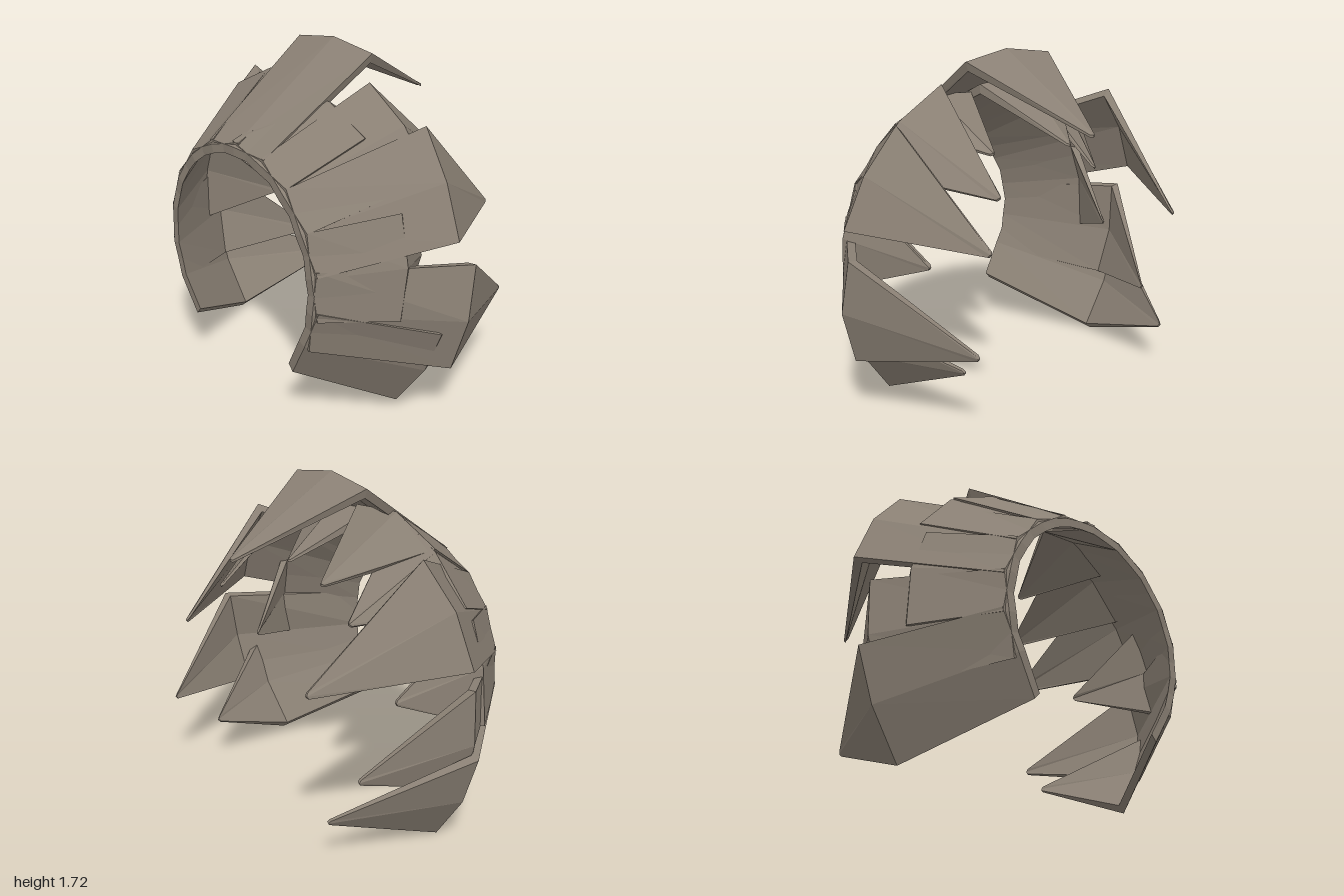
import * as THREE from 'three';

const CENTRE_Y = 0.7; // axis of the collar

// Each plate: three rim points, clockwise seen from the front, then its spike tip
const PLATES = {
  crownPlate: [[-0.28, 1.68, -0.01], [0, 1.72, 0], [0.27, 1.68, -0.01], [0, 1.38, -0.61]],
  rightInnerTopPlate: [[-0.55, 1.41, 0.19], [-0.28, 1.54, 0.18], [0.02, 1.52, 0.18], [-0.22, 1.24, -0.24]],
  rightInnerUpperPlate: [[-0.76, 1.17, 0.2], [-0.56, 1.4, 0.18], [-0.3, 1.53, 0.18], [-0.42, 1.09, -0.23]],
  rightUpperPlate: [[-1, 0.97, 0.02], [-0.89, 1.23, 0], [-0.71, 1.44, -0.04], [-0.6, 0.89, -0.62]],
  rightInnerSidePlate: [[-0.86, 0.58, 0.26], [-0.84, 0.88, 0.25], [-0.76, 1.1, 0.25], [-0.63, 0.72, -0.11]],
  rightSidePlate: [[-0.88, 0.3, 0.12], [-0.95, 0.56, 0.1], [-0.95, 0.84, 0.09], [-0.67, 0.4, -0.37]],
  rightLowerPlate: [[-0.74, 0.0, 0.08], [-0.9, 0.24, 0.09], [-0.99, 0.5, 0.09], [-0.64, 0.23, -0.53]],
  leftInnerTopPlate: [[0.02, 1.47, 0.25], [0.26, 1.49, 0.25], [0.51, 1.37, 0.25], [0.2, 1.24, -0.13]],
  leftInnerUpperPlate: [[0.35, 1.57, 0.08], [0.6, 1.42, 0.09], [0.78, 1.21, 0.1], [0.41, 1.11, -0.41]],
  leftUpperPlate: [[0.67, 1.42, 0.02], [0.84, 1.2, 0.05], [0.95, 0.95, 0.07], [0.57, 0.9, -0.53]],
  leftInnerSidePlate: [[0.76, 1.08, 0.25], [0.83, 0.84, 0.27], [0.82, 0.58, 0.3], [0.57, 0.72, -0.08]],
  leftSidePlate: [[0.985, 0.83, -0.01], [1, 0.56, 0.04], [0.92, 0.29, 0.06], [0.67, 0.43, -0.56]],
  leftLowerPlate: [[0.93, 0.5, 0.14], [0.83, 0.27, 0.14], [0.66, 0.04, 0.16], [0.58, 0.26, -0.35]],
};

// Point on the collar at a clockwise angle from the top
const polar = (angle, radius, z) =>
  [Math.sin(angle) * radius, CENTRE_Y + Math.cos(angle) * radius, z];

// Close three outer points into a six-point section by adding an inner skin
function section(outer, thickness) {
  const inner = outer.map(([x, y, z]) => {
    const k = 1 - thickness / Math.hypot(x, y - CENTRE_Y);
    return [x * k, CENTRE_Y + (y - CENTRE_Y) * k, z];
  });
  return [...outer, ...inner.reverse()];
}

// Folded plate: front ring edge, flared rim, then a spike bending back inward
function plateGeometry([a, ridge, b, tip]) {
  const angle = Math.atan2(ridge[0], ridge[1] - CENTRE_Y);
  const spread = 0.36;
  const front = [
    polar(angle - spread, 0.605, 0.605),
    polar(angle, 0.58, 0.62),
    polar(angle + spread, 0.605, 0.605),
  ];
  const tx = Math.cos(angle) * 0.015, ty = -Math.sin(angle) * 0.015;
  const point = [
    [tip[0] - tx, tip[1] - ty, tip[2] + 0.01],
    tip,
    [tip[0] + tx, tip[1] + ty, tip[2] + 0.01],
  ];
  const rings = [section(front, 0.045), section([a, ridge, b], 0.05), section(point, 0.012)];
  const positions = [];
  const quad = (p, q, r, s) => positions.push(...p, ...q, ...r, ...p, ...r, ...s);
  for (let i = 0; i < 2; i++) {
    const f = rings[i], r = rings[i + 1];
    for (let j = 0; j < 6; j++) {
      const k = (j + 1) % 6;
      quad(f[j], f[k], r[k], r[j]);
    }
  }
  // end caps
  const f = rings[0], e = rings[2];
  quad(f[0], f[5], f[4], f[1]);
  quad(f[1], f[4], f[3], f[2]);
  quad(e[0], e[1], e[4], e[5]);
  quad(e[1], e[2], e[3], e[4]);

  const geometry = new THREE.BufferGeometry();
  geometry.setAttribute('position', new THREE.Float32BufferAttribute(positions, 3));
  geometry.computeVertexNormals(); // unshared corners give flat faces
  return geometry;
}

export function createModel() {
  const group = new THREE.Group();
  group.name = 'spikedCollar';
  const stone = new THREE.MeshStandardMaterial({ color: 0x8a8074 });
  stone.name = 'warm grey';
  for (const [name, points] of Object.entries(PLATES)) {
    const mesh = new THREE.Mesh(plateGeometry(points), stone);
    mesh.name = name;
    group.add(mesh);
  }
  return group;
}
